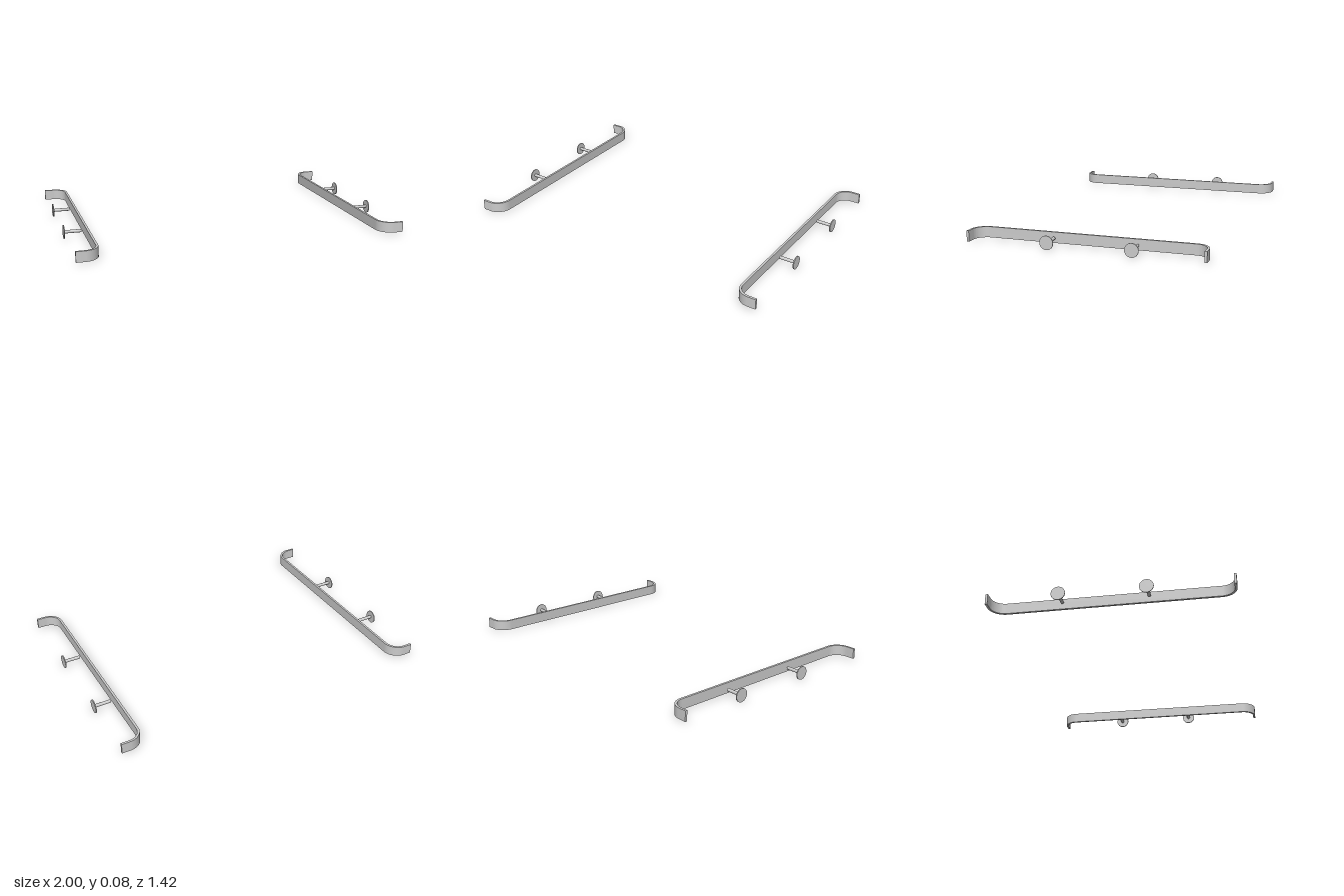
import * as THREE from 'three';
import { toCreasedNormals } from 'three/addons/utils/BufferGeometryUtils.js';

const MID_Y = 0.041;      // height of the rail and bracket axis
const RAIL_H = 0.064;     // height of the rail strip
const THICK = 0.014;      // thickness of the rail strip
const END_Z = 0.708;      // half length of the rail
const FACE_X = 0.859;     // room-side face of the rail
const RADIUS = 0.09;      // outer corner radius

// Flat strip with both ends curving back to the wall at x = 1
function railGeometry() {
  const cx = FACE_X + RADIUS, cz = END_Z - RADIUS, r = RADIUS - THICK;
  const s = new THREE.Shape();
  s.moveTo(1, END_Z);
  s.lineTo(cx, END_Z);
  s.absarc(cx, cz, RADIUS, Math.PI / 2, Math.PI, false);
  s.lineTo(FACE_X, -cz);
  s.absarc(cx, -cz, RADIUS, Math.PI, Math.PI * 1.5, false);
  s.lineTo(1, -END_Z);
  s.lineTo(1, -END_Z + THICK);
  s.lineTo(cx, -END_Z + THICK);
  s.absarc(cx, -cz, r, Math.PI * 1.5, Math.PI, true);
  s.lineTo(FACE_X + THICK, cz);
  s.absarc(cx, cz, r, Math.PI, Math.PI / 2, true);
  s.lineTo(1, END_Z - THICK);
  s.closePath();
  const g = new THREE.ExtrudeGeometry(s, { depth: RAIL_H, bevelEnabled: false, curveSegments: 16 });
  g.rotateX(-Math.PI / 2).translate(0, MID_Y - RAIL_H / 2, 0);
  return toCreasedNormals(g, 0.5);
}

// Cylinder lying along x between two positions
function rod(name, radius, x0, x1, z, material) {
  const g = new THREE.CylinderGeometry(radius, radius, Math.abs(x1 - x0), 32);
  g.rotateZ(Math.PI / 2);
  const m = new THREE.Mesh(g, material);
  m.name = name;
  m.position.set((x0 + x1) / 2, MID_Y, z);
  return m;
}

export function createModel() {
  const model = new THREE.Group();
  model.name = 'wallRails';
  const grey = new THREE.MeshStandardMaterial({ color: 0xcccccc });
  const strip = railGeometry();

  for (const [side, sign] of [['left', 1], ['right', -1]]) {
    const unit = new THREE.Group();
    unit.name = side + 'RailUnit';

    const rail = new THREE.Mesh(strip, grey);
    rail.name = side + 'Rail';
    if (sign < 0) rail.rotation.y = Math.PI;
    unit.add(rail);

    // Two wall brackets: a round plate and a short post
    for (const [place, z] of [['Front', 0.213], ['Back', -0.287]]) {
      const bracket = new THREE.Group();
      bracket.name = side + place + 'Bracket';
      bracket.add(
        rod('wallPlate', 0.041, sign * 0.994, sign, z, grey),
        rod('post', 0.01, sign * 0.893, sign * 0.994, z, grey)
      );
      unit.add(bracket);
    }
    model.add(unit);
  }
  return model;
}
